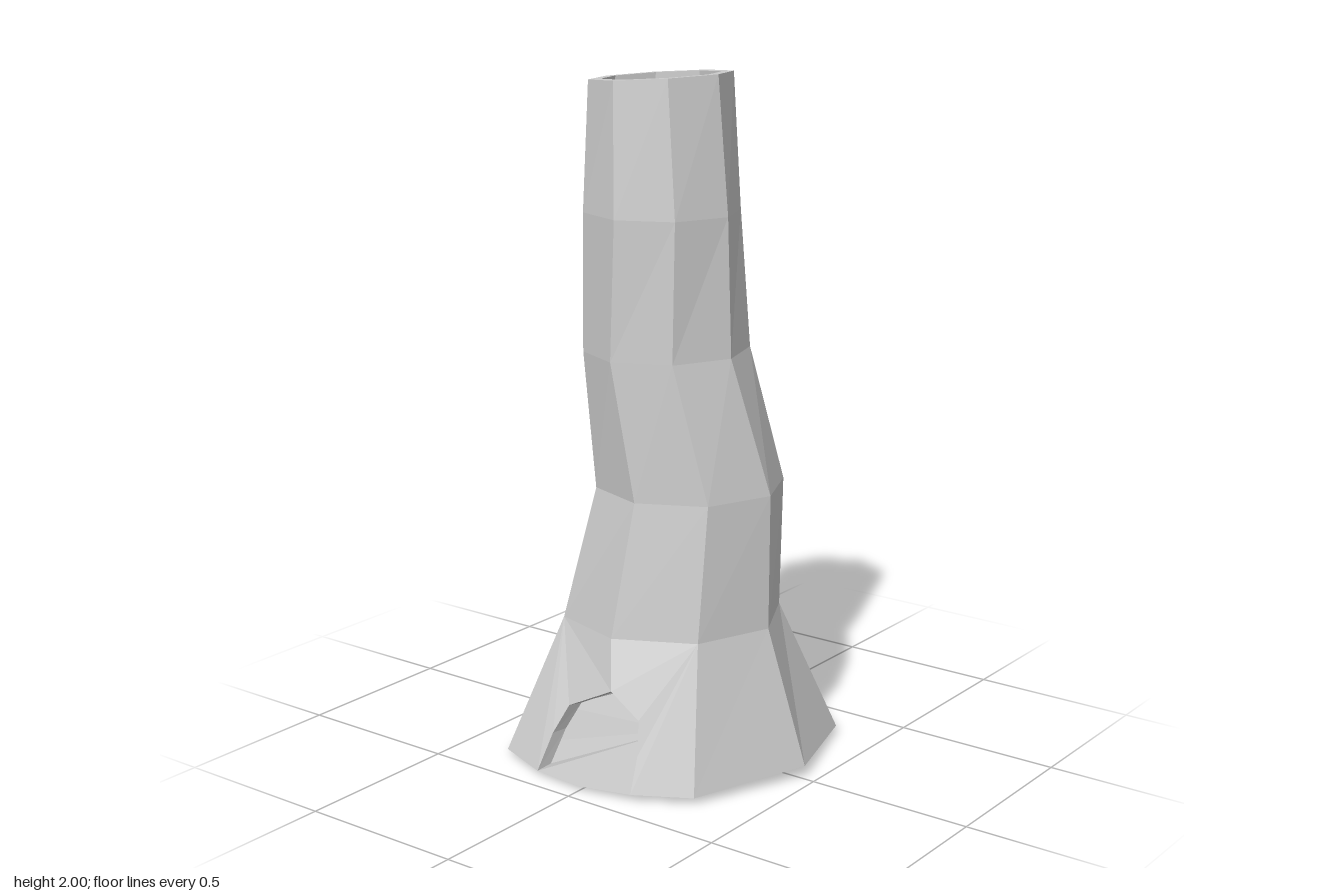
import * as THREE from 'three';

const V = (x, y, z) => new THREE.Vector3(x, y, z);
const SIDES = 8;
const WALL = 0.035;

// Trunk rings above the base: height, tilt, centre x/z, radius x/z, twist in degrees
const RINGS = [
  [0.42, 0.03, 0.0, 0.01, 0.337, 0.305, 2],
  [0.81, 0.03, 0.043, -0.02, 0.283, 0.265, 0],
  [1.21, 0.03, -0.012, 0.02, 0.242, 0.235, -5],
  [1.61, 0.01, -0.02, 0.03, 0.228, 0.22, 0],
  [1.988, 0.07, -0.04, 0.008, 0.205, 0.203, -3],
];

// Uneven foot of the trunk, from the front vertex round towards +x
const FOOT = [
  V(0, 0.013, 0.453), V(0.32, 0.02, 0.335), V(0.463, 0.035, -0.01), V(0.355, 0.022, -0.345),
  V(0.035, 0.03, -0.455), V(-0.3, 0.02, -0.31), V(-0.465, 0, 0.02), V(-0.335, 0.015, 0.375),
];

// Doorway outline: bottom left, over the apex, to bottom right
const DOOR = [
  V(-0.165, 0.013, 0.44), V(-0.145, 0.12, 0.392), V(-0.115, 0.2, 0.353), V(0.05, 0.285, 0.365),
  V(0.14, 0.215, 0.355), V(0.155, 0.12, 0.38), V(0.16, 0.018, 0.42),
];

function ring([y, tilt, cx, cz, rx, rz, twist], inset) {
  return Array.from({ length: SIDES }, (_, k) => {
    const a = (k / SIDES) * Math.PI * 2 + THREE.MathUtils.degToRad(twist);
    const x = cx + (rx - inset) * Math.sin(a);
    return V(x, y + tilt * x, cz + (rz - inset) * Math.cos(a));
  });
}

// Fans each polygon into triangles and makes a flat-shaded mesh
function facetMesh(name, polygons, flip = false) {
  const points = [];
  for (const p of polygons) {
    for (let i = 1; i < p.length - 1; i++) {
      points.push(...(flip ? [p[0], p[i + 1], p[i]] : [p[0], p[i], p[i + 1]]));
    }
  }
  const geometry = new THREE.BufferGeometry().setFromPoints(points);
  geometry.computeVertexNormals();
  const material = new THREE.MeshStandardMaterial({ color: 0xcccccc, flatShading: true });
  const mesh = new THREE.Mesh(geometry, material);
  mesh.name = name;
  return mesh;
}

// Strip of quads between two closed rings
function band(lower, upper) {
  return lower.map((p, k) => {
    const n = (k + 1) % lower.length;
    return [p, lower[n], upper[n], upper[k]];
  });
}

// One skin of the trunk, with the two front facets of the foot cut round the doorway
function skin(foot, rings, door) {
  const [bL, mL, jL, apex, jR, mR, bR] = door;
  const up = rings[0];
  const faces = band(foot, up).slice(1, SIDES - 1);
  faces.push([up[7], foot[7], bL, mL, jL, apex, up[0]]);
  faces.push([up[1], up[0], apex, jR, mR, bR, foot[1]]);
  for (let i = 0; i < rings.length - 1; i++) faces.push(...band(rings[i], rings[i + 1]));
  return faces;
}

function fan(center, loop) {
  return loop.map((p, k) => [center, p, loop[(k + 1) % loop.length]]);
}

export function createModel() {
  const group = new THREE.Group();
  group.name = 'hollowTrunk';

  const outerRings = RINGS.map((r) => ring(r, 0));
  const innerRings = RINGS.map((r) => ring(r, WALL));
  const innerFoot = FOOT.map((p) => V(p.x * 0.9, p.y + 0.015, p.z * 0.9));
  const innerDoor = DOOR.map((p) => V(p.x * 0.92, p.y * 0.92 + 0.012, p.z - 0.045));

  // Bark and hollow
  group.add(facetMesh('outerTrunk', skin(FOOT, outerRings, DOOR)));
  group.add(facetMesh('innerWall', skin(innerFoot, innerRings, innerDoor), true));

  // Rim round the open top
  const last = RINGS.length - 1;
  group.add(facetMesh('topRim', band(outerRings[last], innerRings[last])));

  // Thickness of the doorway
  const jambs = DOOR.slice(0, -1).map((p, i) => [p, innerDoor[i], innerDoor[i + 1], DOOR[i + 1]]);
  group.add(facetMesh('doorFrame', jambs));

  // Floor inside, reaching out through the doorway as a sill
  const floorLoop = [
    FOOT[0], DOOR[6], innerDoor[6], ...innerFoot.slice(1), innerDoor[0], DOOR[0],
  ];
  group.add(facetMesh('floor', fan(V(0, 0.032, 0), floorLoop)));

  // Underside
  const baseLoop = [FOOT[0], DOOR[6], ...FOOT.slice(1), DOOR[0]];
  group.add(facetMesh('underside', fan(V(0, 0.017, 0), baseLoop), true));

  return group;
}
